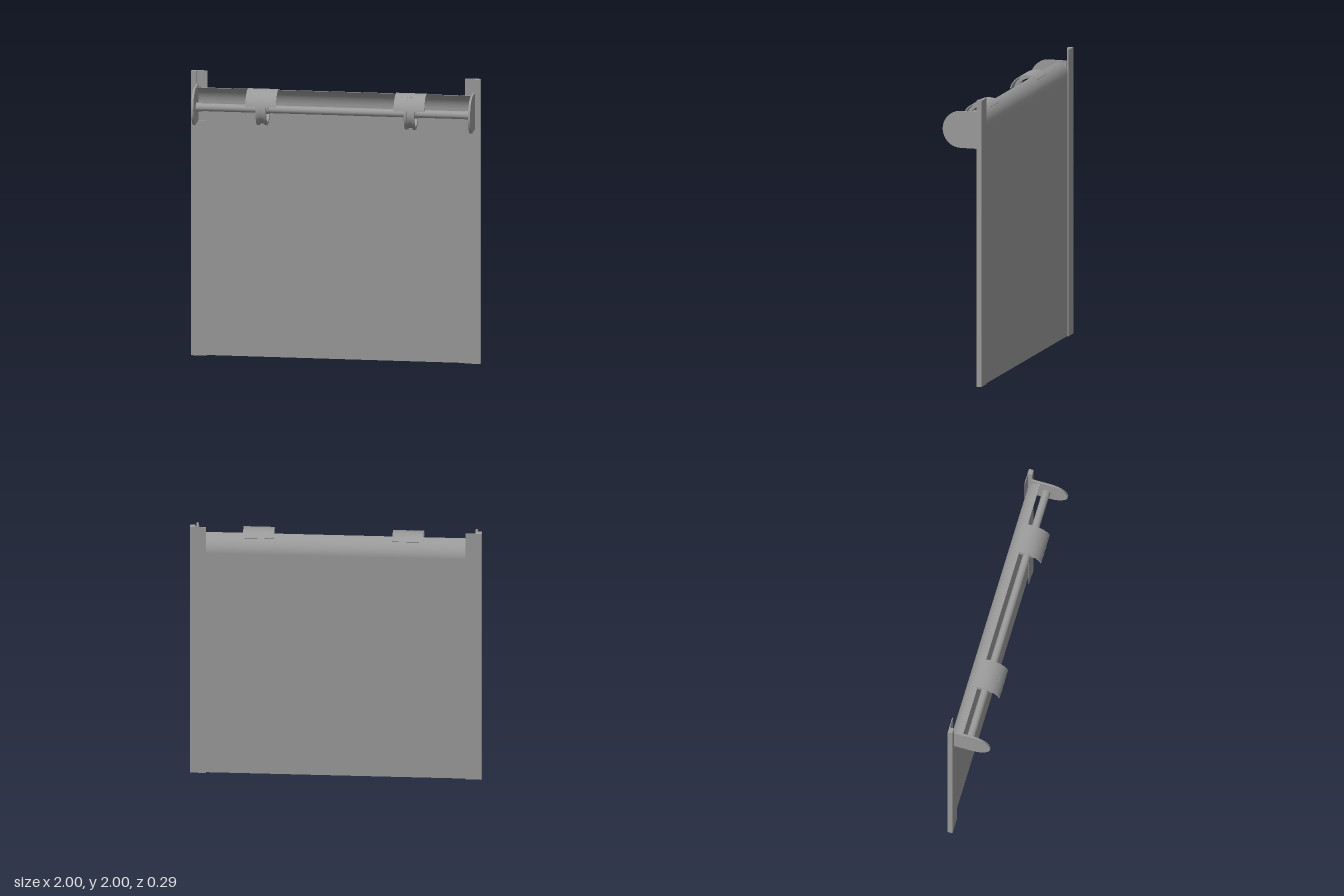
import * as THREE from 'three';

const AXLE_Y = 1.773, AXLE_Z = -0.006;

export function createModel() {
  const model = new THREE.Group();
  const mat = new THREE.MeshStandardMaterial({ color: 0x9c9c9c, side: THREE.DoubleSide });

  const add = (parent, name, geometry, x = 0, y = 0, z = 0) => {
    const mesh = new THREE.Mesh(geometry, mat);
    mesh.name = name;
    mesh.position.set(x, y, z);
    parent.add(mesh);
    return mesh;
  };
  // box given by its limits on each axis
  const block = (parent, name, x0, x1, y0, y1, z0, z1) =>
    add(parent, name, new THREE.BoxGeometry(Math.abs(x1 - x0), y1 - y0, z1 - z0),
      (x0 + x1) / 2, (y0 + y1) / 2, (z0 + z1) / 2);
  // cylinder lying along x on the axle line
  const rod = (parent, name, r, length, x) =>
    add(parent, name, new THREE.CylinderGeometry(r, r, length, 32).rotateZ(Math.PI / 2), x, AXLE_Y, AXLE_Z);
  // outline drawn in (z, y), extruded along x and centred on x = 0
  const extrudeX = (shape, width) =>
    new THREE.ExtrudeGeometry(shape, { depth: width, bevelEnabled: false, curveSegments: 32 })
      .translate(0, 0, -width / 2).rotateY(-Math.PI / 2);
  // ring sector around the origin; angles run from +z towards +y
  const arcBand = (rIn, rOut, a0, a1) => {
    const shape = new THREE.Shape();
    shape.absarc(0, 0, rOut, a0, a1, false);
    shape.absarc(0, 0, rIn, a1, a0, true);
    return shape;
  };
  const ring = (rIn, rOut) => {
    const shape = new THREE.Shape().absarc(0, 0, rOut, 0, Math.PI * 2, false);
    shape.holes.push(new THREE.Path().absarc(0, 0, rIn, 0, Math.PI * 2, true));
    return shape;
  };

  // guide rails and end plates
  for (const s of [-1, 1]) {
    const side = new THREE.Group();
    side.name = s > 0 ? 'leftRail' : 'rightRail';
    model.add(side);
    block(side, 'railBar', s * 0.963, s, 0, 2, -0.145, -0.111);
    block(side, 'railBackFlange', s * 0.89, s * 0.963, 0, 2, -0.145, -0.14);
    // the flange on the model's left sits slightly behind its bar
    block(side, 'railFrontFlange', s * 0.89, s * 0.963, 0, 1.655, -0.118, s > 0 ? -0.114 : -0.111);

    const plate = new THREE.Shape();
    plate.moveTo(-0.113, 1.655);
    plate.lineTo(0.018, 1.655);
    plate.absarc(0.018, 1.783, 0.128, -Math.PI / 2, Math.PI / 2, false);
    plate.lineTo(-0.113, 1.911);
    plate.closePath();
    add(side, 'endPlate', extrudeX(plate, 0.014), s * 0.957);
    rod(side, 'axleCollar', 0.03, 0.045, s * 0.93);
  }

  // curtain: flat sheet that curls over the axle at the top
  const R = 0.124, T = 0.003, cy = 1.784, cz = -0.011, curlEnd = Math.PI * 0.6;
  const sheet = new THREE.Shape();
  sheet.moveTo(cz - R, 0);
  sheet.lineTo(cz - R, cy);
  sheet.absarc(cz, cy, R, Math.PI, curlEnd, true);
  sheet.absarc(cz, cy, R - T, curlEnd, Math.PI, false);
  sheet.lineTo(cz - R + T, 0);
  sheet.closePath();
  add(model, 'curtain', extrudeX(sheet, 1.9));

  rod(model, 'axle', 0.027, 1.9, 0);

  // spring wheels, each with a curved strap that holds the curtain's edge
  for (const x of [-0.49, 0.535]) {
    const wheel = new THREE.Group();
    wheel.name = 'springWheel';
    wheel.position.set(x, 1.78, -0.013);
    model.add(wheel);
    for (const s of [-1, 1]) {
      add(wheel, 'wheelRim', extrudeX(ring(0.095, 0.119), 0.017), s * 0.027);
    }
    add(wheel, 'wheelGroove', extrudeX(ring(0.095, 0.107), 0.037));
    add(wheel, 'wheelHub', extrudeX(ring(0.022, 0.042), 0.09));
    for (let i = 0; i < 3; i++) {
      const spoke = add(wheel, 'wheelSpoke', new THREE.BoxGeometry(0.036, 0.066, 0.014).translate(0, 0.069, 0));
      spoke.rotation.x = i * Math.PI * 2 / 3 + Math.PI / 3;
    }

    // two wide wings joined in the middle, with a short slot holding a lug
    const strap = new THREE.Group();
    strap.name = 'strap';
    strap.position.set(x, 1.784, -0.016);
    model.add(strap);
    const a0 = 0.22, a1 = 2.2, slot0 = 0.75, slot1 = 1.15;
    for (const s of [-1, 1]) {
      add(strap, 'strapWing', extrudeX(arcBand(0.119, 0.127, a0, a1), 0.09), s * 0.061);
    }
    add(strap, 'strapFront', extrudeX(arcBand(0.119, 0.127, a0, slot0), 0.032));
    add(strap, 'strapBack', extrudeX(arcBand(0.119, 0.127, slot1, a1), 0.032));
    add(strap, 'strapLug', extrudeX(arcBand(0.112, 0.124, slot0, slot1), 0.032));
  }
  return model;
}
